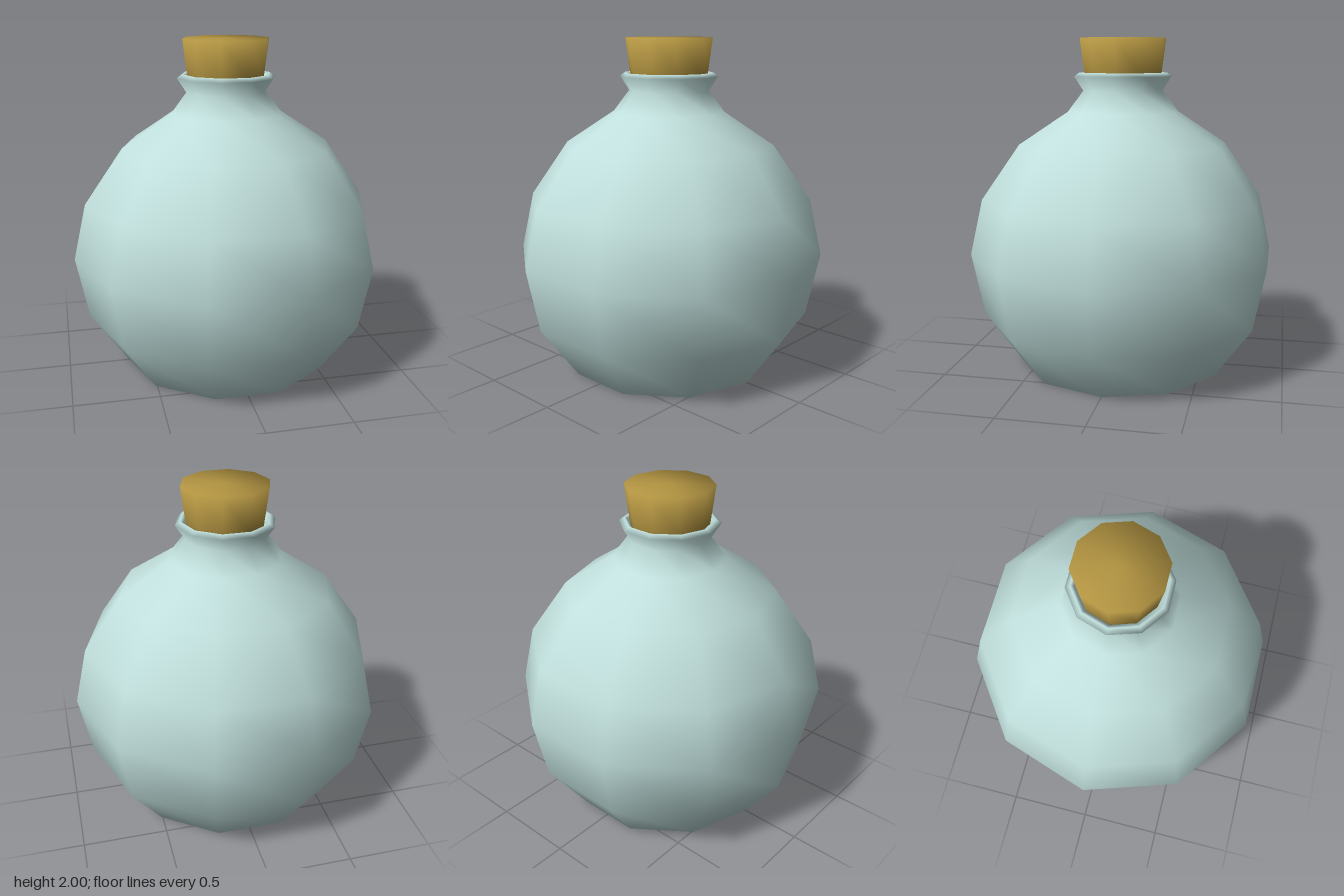
import * as THREE from 'three';

const SIDES = 10;

// Ten-sided turned part with smooth normals; profile runs bottom to top as [radius, y]
function turned(name, profile, material) {
  const points = profile.map(([r, y]) => new THREE.Vector2(r, y));
  const mesh = new THREE.Mesh(new THREE.LatheGeometry(points, SIDES, Math.PI / 2), material);
  mesh.name = name;
  return mesh;
}

export function createModel() {
  const glass = new THREE.MeshStandardMaterial({ color: 0xc0dfdc });
  glass.name = 'pale glass';
  const corkBrown = new THREE.MeshStandardMaterial({ color: 0xb09240 });
  corkBrown.name = 'cork brown';

  const group = new THREE.Group();
  group.name = 'corkedFlask';

  // Round body, pinched neck and flared lip, turning inward around the stopper
  group.add(turned('bottle', [
    [0, 0], [0.63, 0], [0.86, 0.32], [0.937, 0.7], [0.86, 1.04], [0.63, 1.37],
    [0.335, 1.565], [0.24, 1.69], [0.295, 1.775], [0.265, 1.797], [0.245, 1.785], [0.2, 1.7],
  ], glass));

  // Tapered stopper
  group.add(turned('stopper', [
    [0, 1.68], [0.215, 1.68], [0.233, 1.79], [0.26, 2], [0, 2],
  ], corkBrown));

  return group;
}
